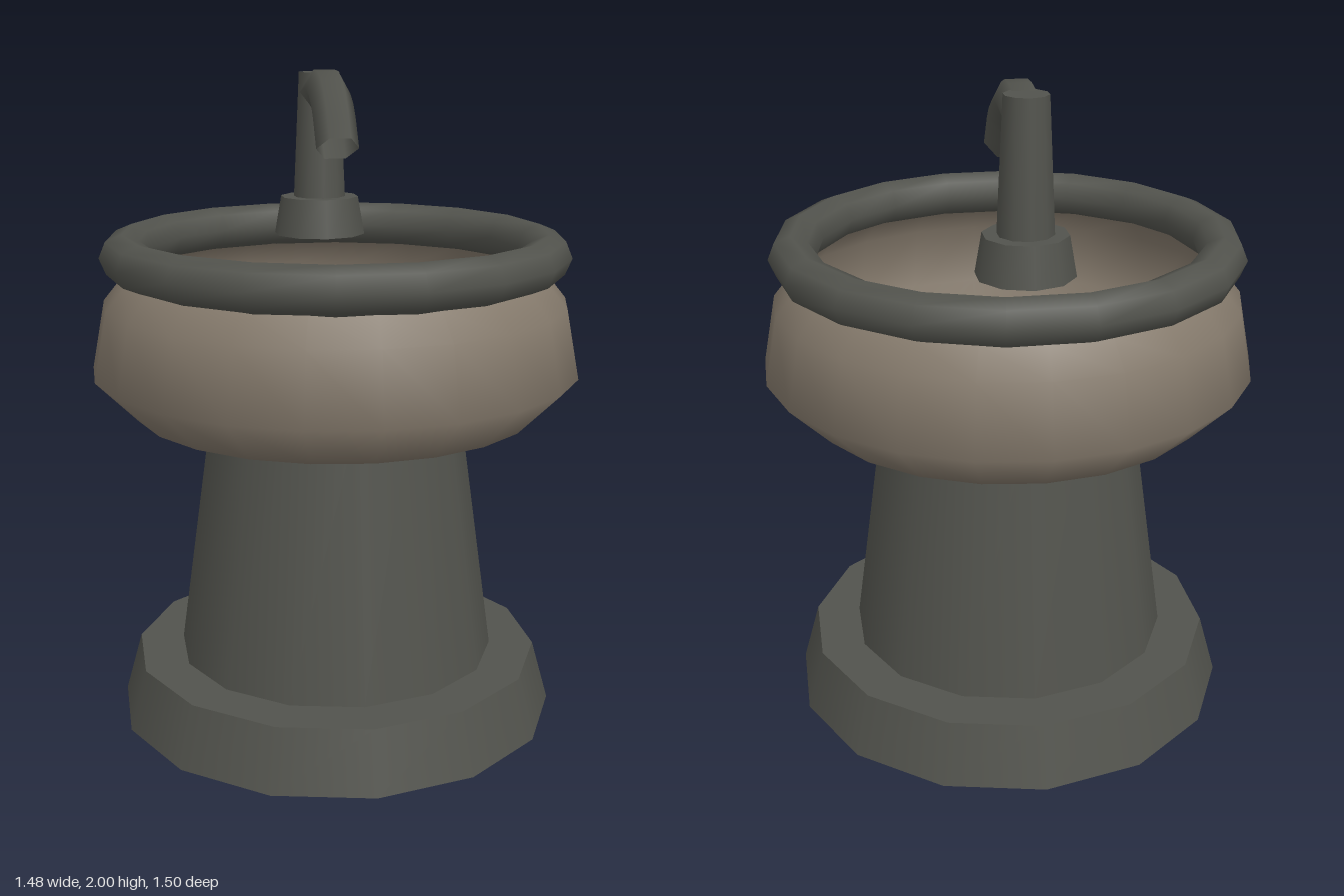
import * as THREE from 'three';

export function createModel() {
  const model = new THREE.Group();
  model.name = 'drinkingFountain';

  const metal = new THREE.MeshStandardMaterial({ color: 0x52534d, side: THREE.DoubleSide });
  metal.name = 'dark grey metal';
  const stone = new THREE.MeshStandardMaterial({ color: 0x857a6c, side: THREE.DoubleSide });
  stone.name = 'warm brown stone';

  function add(name, geometry, material, y = 0, z = 0) {
    const mesh = new THREE.Mesh(geometry, material);
    mesh.name = name;
    mesh.position.set(0, y, z);
    model.add(mesh);
    return mesh;
  }

  // Tapered round part between two heights
  function cone(name, rTop, rBottom, y0, y1, sides, z = 0) {
    return add(name, new THREE.CylinderGeometry(rTop, rBottom, y1 - y0, sides), metal, (y0 + y1) / 2, z);
  }

  // Foot and pedestal; the pedestal top stands slightly above the bowl floor
  cone('foot', 0.64, 0.693, 0, 0.19, 14);
  cone('pedestal', 0.38, 0.5, 0.19, 1.05, 14);

  // Thin open bowl
  const bowlProfile = [
    [0, 0.98], [0.62, 0.98], [0.75, 1.11], [0.71, 1.32], [0.645, 1.4], [0.585, 1.46],
  ].map(([r, y]) => new THREE.Vector2(r, y));
  add('bowl', new THREE.LatheGeometry(bowlProfile, 22), stone);

  // Rounded rim
  const rim = new THREE.TorusGeometry(0.645, 0.07, 8, 18);
  rim.rotateX(-Math.PI / 2);
  add('rim', rim, metal, 1.465);

  // Tap: collar, column and bent spout
  const tapZ = -0.3;
  cone('tapCollar', 0.125, 0.146, 1.48, 1.6, 10, tapZ);
  cone('tapColumn', 0.065, 0.083, 1.6, 1.99, 10, tapZ);
  const spoutPath = new THREE.CatmullRomCurve3([
    [1.925, -0.3], [1.945, -0.16], [1.9, -0.053], [1.78, 0.037],
  ].map(([y, z]) => new THREE.Vector3(0, y, z)));
  add('spout', new THREE.TubeGeometry(spoutPath, 8, 0.065, 6), metal);

  return model;
}
